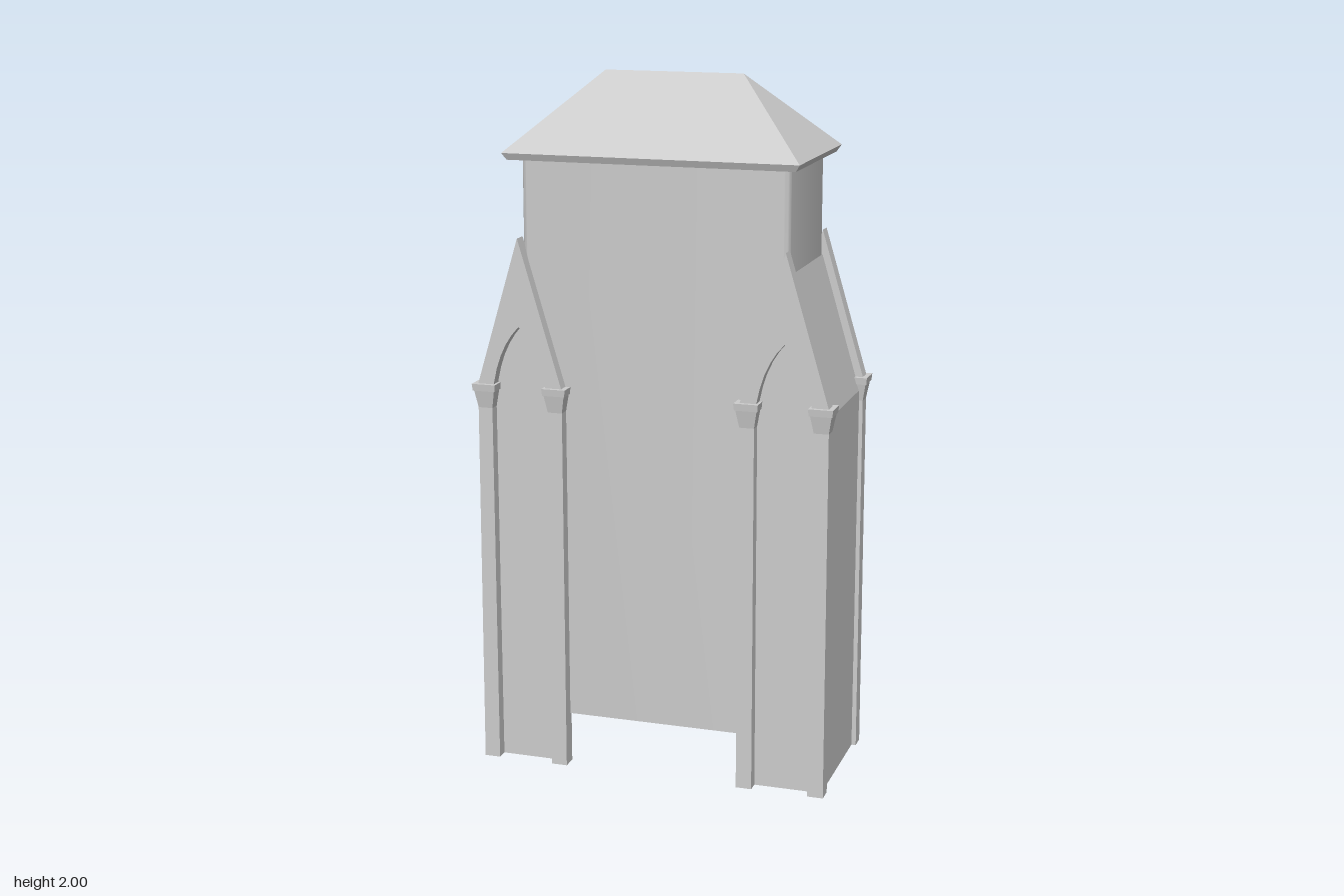
import * as THREE from 'three';
import { toCreasedNormals } from 'three/addons/utils/BufferGeometryUtils.js';

const grey = new THREE.MeshStandardMaterial({ color: 0xcccccc });
const flat = new THREE.MeshStandardMaterial({ color: 0xcccccc, flatShading: true });
const thin = new THREE.MeshStandardMaterial({ color: 0xcccccc, flatShading: true, side: THREE.DoubleSide });

function add(parent, name, geometry, material = flat) {
  const mesh = new THREE.Mesh(geometry, material);
  mesh.name = name;
  parent.add(mesh);
  return mesh;
}

// Box whose bottom (w0 x d0, at y0) and top (w1 x d1, at y1) differ in size
function taperedBox(w0, d0, y0, w1, d1, y1) {
  const g = new THREE.BoxGeometry(1, 1, 1);
  const p = g.attributes.position;
  for (let i = 0; i < p.count; i++) {
    const top = p.getY(i) > 0;
    p.setXYZ(i, p.getX(i) * (top ? w1 : w0), top ? y1 : y0, p.getZ(i) * (top ? d1 : d0));
  }
  g.computeVertexNormals();
  return g;
}

// Central block: rounded rectangle extruded upwards
function bodyGeometry(w, d, r, y0, y1) {
  const s = new THREE.Shape();
  s.absarc(w - r, d - r, r, 0, Math.PI / 2);
  s.absarc(-w + r, d - r, r, Math.PI / 2, Math.PI);
  s.absarc(-w + r, -d + r, r, Math.PI, Math.PI * 1.5);
  s.absarc(w - r, -d + r, r, Math.PI * 1.5, Math.PI * 2);
  const g = new THREE.ExtrudeGeometry(s, { depth: y1 - y0, bevelEnabled: false, curveSegments: 5 });
  g.rotateX(-Math.PI / 2).translate(0, y0, 0);
  return toCreasedNormals(g, Math.PI / 5);
}

// Steep gable with a pointed arch cut out from below
function gableGeometry() {
  const s = new THREE.Shape();
  s.moveTo(-0.125, 1.09);
  s.lineTo(-0.125, 1.13);
  s.lineTo(0, 1.55);
  s.lineTo(0.125, 1.13);
  s.lineTo(0.125, 1.09);
  s.lineTo(0.083, 1.09);
  s.quadraticCurveTo(0.07, 1.23, 0, 1.3);
  s.quadraticCurveTo(-0.07, 1.23, -0.083, 1.09);
  return new THREE.ExtrudeGeometry(s, { depth: 0.043, bevelEnabled: false, curveSegments: 6 });
}

// Recessed wall that fills the arch
function panelGeometry() {
  const s = new THREE.Shape();
  s.moveTo(-0.115, 0);
  s.lineTo(0.115, 0);
  s.lineTo(0.115, 1.09);
  s.lineTo(0, 1.48);
  s.lineTo(-0.115, 1.09);
  return new THREE.ShapeGeometry(s);
}

// Outer wall and the roof slope above it, folded at the eave
function outerWallGeometry(side) {
  const g = new THREE.PlaneGeometry(1, 1, 1, 2);
  const p = g.attributes.position;
  const profile = [[0, 1.48], [0.115, 1.09], [0.115, 0]];
  for (let i = 0; i < p.count; i++) {
    const [x, y] = profile[Math.floor(i / 2)];
    p.setXYZ(i, x * side, y, (i % 2 ? -0.19 : 0.19) * side);
  }
  g.computeVertexNormals();
  return g;
}

function buttress(side) {
  const tower = new THREE.Group();
  tower.name = side > 0 ? 'leftTower' : 'rightTower';
  tower.position.x = 0.385 * side;
  add(tower, 'outerWallAndRoof', outerWallGeometry(side), thin);

  for (const f of [1, -1]) {
    add(tower, 'gable', gableGeometry()).position.z = f > 0 ? 0.182 : -0.225;
    add(tower, 'archPanel', panelGeometry(), thin).position.z = 0.192 * f;

    // Corner posts with flared capitals
    for (const c of [1, -1]) {
      const post = new THREE.Group();
      post.name = 'cornerPost';
      post.position.set(0.105 * c, 0, 0.203 * f);
      add(post, 'shaft', taperedBox(0.046, 0.046, 0, 0.042, 0.042, 1.06));
      add(post, 'capitalFlare', taperedBox(0.042, 0.042, 1.06, 0.06, 0.06, 1.11));
      add(post, 'capitalCap', taperedBox(0.066, 0.066, 1.11, 0.07, 0.07, 1.13));
      tower.add(post);
    }
  }
  return tower;
}

export function createModel() {
  const model = new THREE.Group();
  model.name = 'gatehouse';

  add(model, 'body', bodyGeometry(0.385, 0.19, 0.024, 0.15, 1.78), grey);

  // Hipped roof on a thin eaves slab
  add(model, 'eaves', taperedBox(0.82, 0.455, 1.768, 0.845, 0.472, 1.787));
  add(model, 'hippedRoof', taperedBox(0.845, 0.472, 1.787, 0.4, 0, 2));

  model.add(buttress(1), buttress(-1));
  return model;
}
